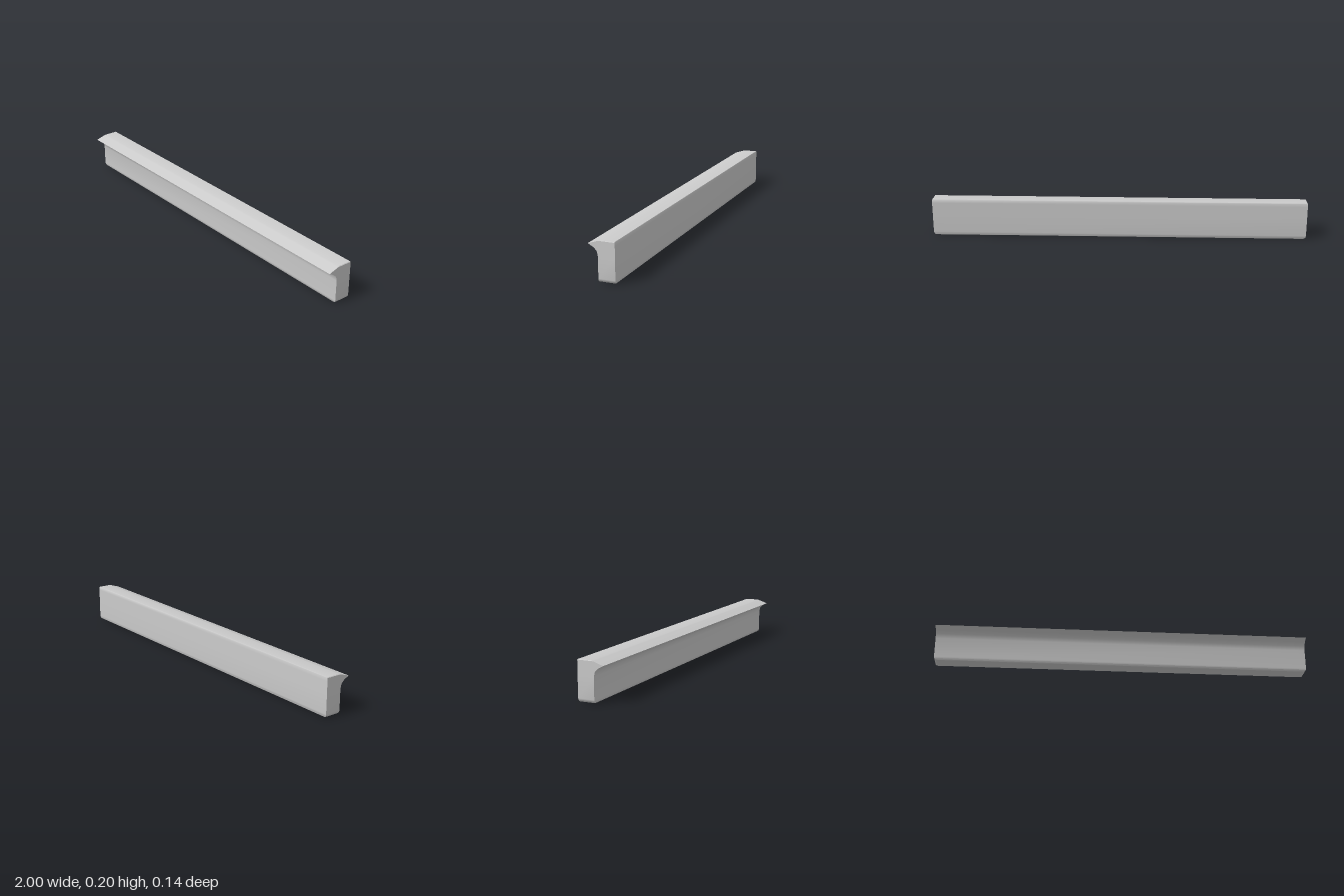
import * as THREE from 'three';
import { toCreasedNormals } from 'three/addons/utils/BufferGeometryUtils.js';

// Height levels of the rail: [y, front z, back z, half length]
const LEVELS = [
  // softened bottom edge
  [0, 0.013, -0.062, 0.985],
  [0.003, 0.016, -0.065, 0.993],
  [0.009, 0.018, -0.066, 0.998],
  [0.018, 0.0185, -0.067, 1],
  // straight face, then the cove under the lip
  [0.125, 0.0185, -0.067, 1],
  [0.149, 0.024, -0.067, 1],
  [0.165, 0.04, -0.067, 1],
  // lip edge, then the slope up to the top
  [0.18, 0.068, -0.067, 1],
  [0.197, 0.016, -0.067, 1],
  [0.2, 0.006, -0.065, 0.997],
];

// Stacks rectangular cross-sections into a closed solid
function stackLevels(levels) {
  const positions = [];
  const index = [];
  for (const [y, front, back, half] of levels) {
    positions.push(half, y, front, half, y, back, -half, y, back, -half, y, front);
  }
  for (let i = 0; i < levels.length - 1; i++) {
    for (let j = 0; j < 4; j++) {
      const a = i * 4 + j;
      const b = i * 4 + ((j + 1) % 4);
      index.push(a, b, b + 4, a, b + 4, a + 4);
    }
  }
  const t = (levels.length - 1) * 4;
  index.push(0, 2, 1, 0, 3, 2); // underside
  index.push(t, t + 1, t + 2, t, t + 2, t + 3); // top
  const geometry = new THREE.BufferGeometry();
  geometry.setAttribute('position', new THREE.Float32BufferAttribute(positions, 3));
  geometry.setIndex(index);
  return toCreasedNormals(geometry, 0.7);
}

export function createModel() {
  const group = new THREE.Group();
  group.name = 'lippedRail';
  const rail = new THREE.Mesh(
    stackLevels(LEVELS),
    new THREE.MeshStandardMaterial({ color: 0xcccccc })
  );
  rail.name = 'rail';
  group.add(rail);
  return group;
}
